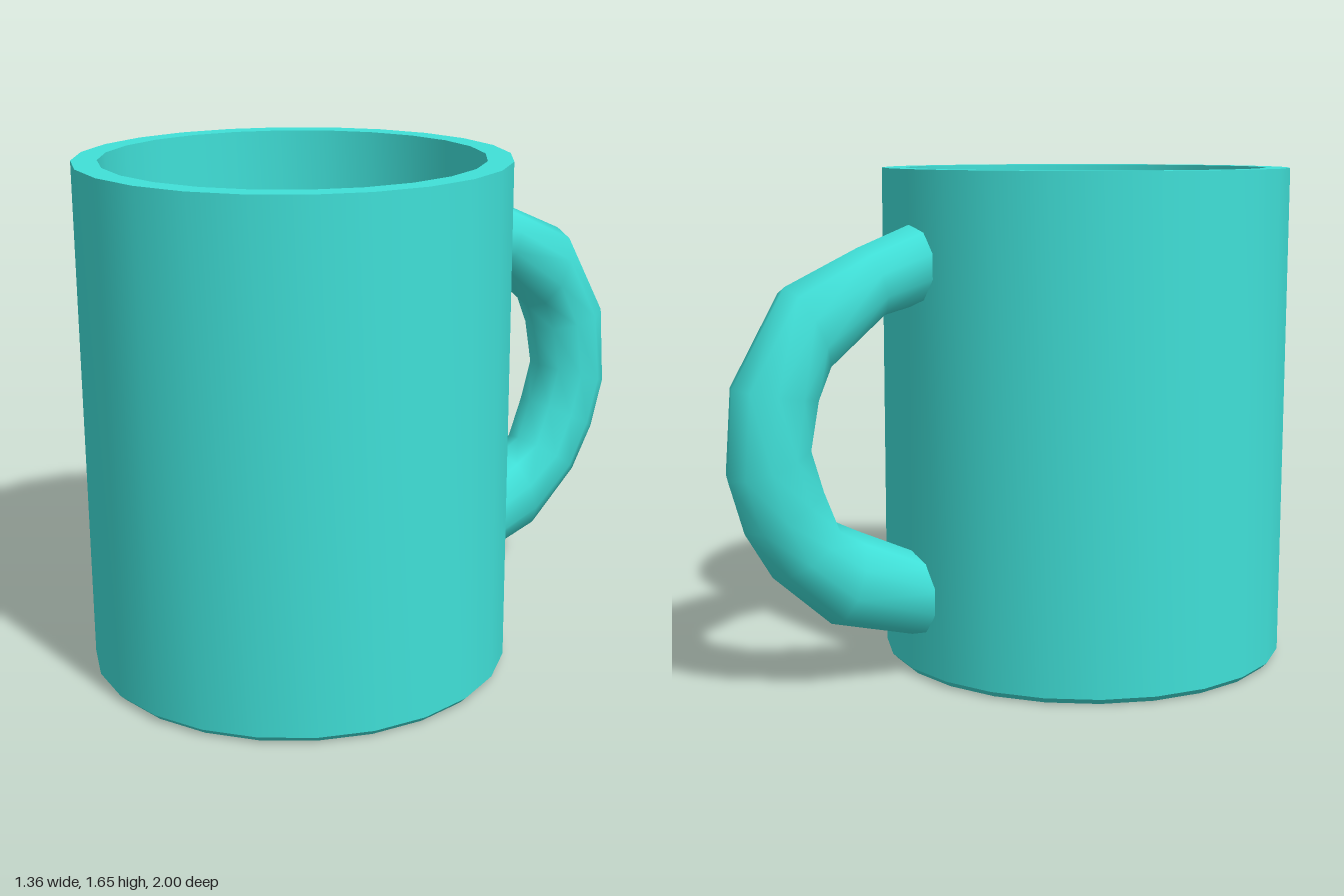
import * as THREE from 'three';
import { toCreasedNormals } from 'three/addons/utils/BufferGeometryUtils.js';

const MUG_Z = 0.315;
const SIDES = 24;

// Loft through rings, each given by its outer and inner edge in the z-y plane
function loftHandle(rings, halfWidth, sides) {
  const positions = [];
  const indices = [];
  rings.forEach(([oz, oy, iz, iy], i) => {
    for (let k = 0; k < sides; k++) {
      const a = (k / sides) * Math.PI * 2;
      const c = Math.cos(a) / 2;
      positions.push(
        halfWidth * Math.sin(a),
        (oy + iy) / 2 + (oy - iy) * c,
        (oz + iz) / 2 + (oz - iz) * c
      );
      if (i === rings.length - 1) continue;
      const p = i * sides + k;
      const q = i * sides + ((k + 1) % sides);
      indices.push(p, q, p + sides, q, q + sides, p + sides);
    }
  });
  const geometry = new THREE.BufferGeometry();
  geometry.setAttribute('position', new THREE.Float32BufferAttribute(positions, 3));
  geometry.setIndex(indices);
  geometry.computeVertexNormals();
  return geometry;
}

export function createModel() {
  const group = new THREE.Group();
  group.name = 'mug';
  const material = new THREE.MeshStandardMaterial({ color: 0x40e0d8 });

  // Cup: underside, small bevel, outer wall, rim, inner wall and floor
  const profile = [
    [0, 0], [0.66, 0], [0.68, 0.02], [0.68, 1.65],
    [0.6, 1.65], [0.6, 0.08], [0, 0.08],
  ].map(([r, y]) => new THREE.Vector2(r, y));
  const cup = new THREE.Mesh(
    toCreasedNormals(new THREE.LatheGeometry(profile, SIDES), 0.6),
    material
  );
  cup.name = 'cup';
  cup.position.z = MUG_Z;
  group.add(cup);

  // Handle: open ends are buried in the cup wall
  const rings = [
    [-0.3, 1.5, -0.3, 1.23],
    [-0.55, 1.41, -0.48, 1.19],
    [-0.8, 1.3, -0.67, 1.03],
    [-0.98, 1.0, -0.7, 0.95],
    [-1.0, 0.72, -0.73, 0.81],
    [-0.95, 0.55, -0.69, 0.68],
    [-0.86, 0.4, -0.64, 0.55],
    [-0.66, 0.22, -0.56, 0.51],
    [-0.3, 0.12, -0.3, 0.39],
  ];
  const handle = new THREE.Mesh(loftHandle(rings, 0.128, 10), material);
  handle.name = 'handle';
  group.add(handle);

  return group;
}
